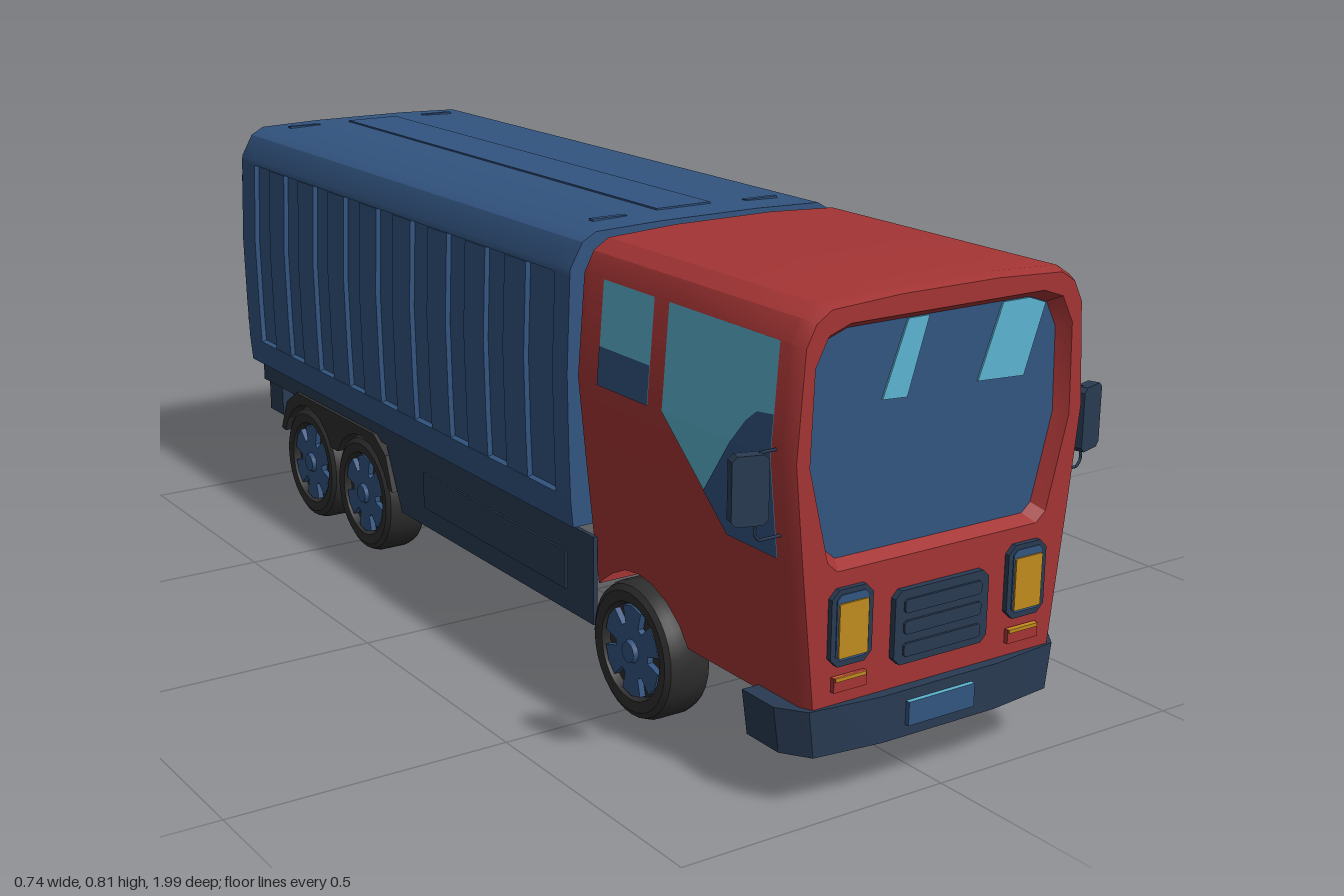
import * as THREE from 'three';
import { toCreasedNormals, mergeGeometries } from 'three/addons/utils/BufferGeometryUtils.js';

const mat = (name, color) => Object.assign(new THREE.MeshStandardMaterial({ color }), { name });
const M = {
  red: mat('cab red', 0xa33434), blue: mat('container blue', 0x325480), navy: mat('trim navy', 0x293a52),
  cyan: mat('glass cyan', 0x5cb3d0), tyre: mat('tyre charcoal', 0x2e2e2e), black: mat('underside black', 0x1b1b1b),
  yellow: mat('lamp yellow', 0xbf8b1d), orange: mat('signal orange', 0xb5432a),
};
M.cyan.side = M.red.side = M.blue.side = THREE.DoubleSide;

const crease = (g) => toCreasedNormals(g, 0.5);
const V2 = (pts) => pts.map(([x, y]) => new THREE.Vector2(x, y));

function add(parent, name, geo, material, pos = [0, 0, 0]) {
  const m = new THREE.Mesh(geo, material);
  m.name = name;
  m.position.set(...pos);
  parent.add(m);
  return m;
}
const box = (parent, name, material, size, pos) => add(parent, name, new THREE.BoxGeometry(...size), material, pos);
// Number plate with a pale upper edge
const plateSides = [M.blue, M.blue, M.cyan, M.blue, M.blue, M.blue];

// Skin through rings of [x, y, z], counter-clockwise seen from +z; an open skin has no face from last point to first
function loft(rings, { back = true, front = true, open = false } = {}) {
  const v = [], n = rings[0].length;
  const cap = (r, flip) => {
    const c = [0, 1, 2].map((k) => r.reduce((s, p) => s + p[k], 0) / n);
    r.forEach((p, j) => { const q = r[(j + 1) % n]; v.push(c, ...(flip ? [q, p] : [p, q])); });
  };
  for (let i = 0; i + 1 < rings.length; i++) for (let j = 0; j < n - (open ? 1 : 0); j++) {
    const k = (j + 1) % n, a = rings[i][j], b = rings[i][k], c = rings[i + 1][k], d = rings[i + 1][j];
    v.push(a, b, c, a, c, d);
  }
  if (back) cap(rings[0], true);
  if (front) cap(rings[rings.length - 1], false);
  const g = new THREE.BufferGeometry();
  g.setAttribute('position', new THREE.Float32BufferAttribute(v.flat(), 3));
  g.computeVertexNormals();
  return crease(g);
}

// Half profile [x, y] from bottom to top, mirrored to a full section
const section = (half, z) => [...half, ...half.map(([x, y]) => [-x, y]).reverse()].map(([x, y]) => [x, y, z]);
const widthAt = (half) => (y) => {
  let i = 0;
  while (i < half.length - 2 && half[i + 1][1] < y) i++;
  const [a, b] = [half[i], half[i + 1]];
  return a[0] + (b[0] - a[0]) * (y - a[1]) / (b[1] - a[1]);
};

// Plate facing front (or back) and panel extruded across x from a [z, y] outline
const plate = (pts, depth) => new THREE.ExtrudeGeometry(new THREE.Shape(V2(pts)), { depth, bevelEnabled: false });
const across = (pts, x0, x1) => plate(pts.map(([z, y]) => [-z, y]), x1 - x0).rotateY(Math.PI / 2).translate(x0, 0, 0);
// Slab seen from above, outline [x, z]
const slab = (pts, y0, y1) => plate(pts.map(([x, z]) => [x, -z]), y1 - y0).rotateX(-Math.PI / 2).translate(0, y0, 0);
const octagon = (w, h, c) => [[w - c, -h], [w, c - h], [w, h - c], [w - c, h], [c - w, h], [-w, h - c], [-w, c - h], [c - w, -h]];
const rect = (x0, x1, y0, y1) => [[x0, y0], [x1, y0], [x1, y1], [x0, y1]];

// Thin face following a curved side wall, outline [z, y]
function sideFace(pts, width, s, lift) {
  const g = new THREE.ShapeGeometry(new THREE.Shape(V2(pts.map(([z, y]) => [-s * z, y]))));
  const p = g.attributes.position;
  for (let i = 0; i < p.count; i++) p.setXYZ(i, s * (width(p.getY(i)) + lift), p.getY(i), -s * p.getX(i));
  g.computeVertexNormals();
  return g;
}

function buildCab() {
  const cab = new THREE.Group();
  cab.name = 'cab';
  const half = [[0.25, 0.165], [0.277, 0.4], [0.295, 0.57], [0.282, 0.745], [0.264, 0.78], [0.235, 0.798], [0.1, 0.805]];
  const width = widthAt(half);
  const ring = (z, b) => section([[width(b), b], ...half.slice(1)], z);
  // Shell with wheel arches, open underneath
  const rings = [[0.4, 0.195], [0.42, 0.21], [0.45, 0.23], [0.49, 0.249], [0.53, 0.255], [0.57, 0.249],
    [0.61, 0.229], [0.64, 0.2], [0.66, 0.165], [0.95, 0.165]].map(([z, b]) => ring(z, b));
  const face = section(half.map(([x, y]) => [x * 0.965, 0.5 + (y - 0.5) * 0.98]), 0.972);
  add(cab, 'cabShell', loft([...rings, face], { front: false, open: true }), M.red);

  // Front wall with windscreen opening
  const glass = [[0.19, 0.4], [0.208, 0.415], [0.245, 0.56], [0.24, 0.7], [0.218, 0.742], [0.18, 0.755]];
  const glassRing = section(glass, 0.95);
  const frame = section(glass.map(([x, y]) => [x * 1.06, 0.577 + (y - 0.577) * 1.07]), 0.972);
  const wall = new THREE.Shape(V2(face));
  wall.holes.push(new THREE.Path(V2(frame).reverse()));
  add(cab, 'frontWall', new THREE.ShapeGeometry(wall), M.red, [0, 0, 0.972]);
  add(cab, 'windscreenFrame', loft([frame, glassRing], { back: false, front: false }), M.red);
  add(cab, 'windscreen', plate(glassRing, 0.002), M.blue, [0, 0, 0.948]);
  for (const pts of [[[-0.11, 0.635], [-0.062, 0.632], [-0.024, 0.754], [-0.065, 0.754]],
    [[0.08, 0.635], [0.175, 0.63], [0.214, 0.742], [0.18, 0.754], [0.125, 0.754]]])
    add(cab, 'windscreenGlint', plate(pts, 0.003), M.cyan, [0, 0, 0.95]);

  // Grille
  add(cab, 'grille', plate(octagon(0.095, 0.061, 0.012), 0.011), M.navy, [0, 0.275, 0.973]);
  for (const y of [0.31, 0.275, 0.238]) add(cab, 'grilleSlat', plate(octagon(0.078, 0.011, 0.004), 0.006), M.navy, [0, y, 0.982]);

  for (const s of [1, -1]) {
    // Lamps
    add(cab, 'headlightHousing', plate(octagon(0.04, 0.062, 0.014), 0.009), M.navy, [s * 0.178, 0.3, 0.973]);
    add(cab, 'headlightRim', plate(octagon(0.031, 0.053, 0.008), 0.003), M.blue, [s * 0.178, 0.301, 0.981]);
    add(cab, 'headlightLens', plate(octagon(0.028, 0.044, 0.002), 0.004), M.yellow, [s * 0.178, 0.297, 0.983]);
    box(cab, 'indicatorBase', M.red, [0.064, 0.024, 0.008], [s * 0.177, 0.208, 0.977]);
    box(cab, 'indicator', M.yellow, [0.06, 0.006, 0.008], [s * 0.177, 0.217, 0.979]);

    // Side windows, split where the wall bends
    const panes = [rect(0.645, 0.925, 0.57, 0.745), [[0.925, 0.57], [0.645, 0.57], [0.8, 0.41], [0.925, 0.41]], rect(0.46, 0.605, 0.57, 0.745)];
    const shades = [[[0.925, 0.635], [0.885, 0.63], [0.86, 0.61], [0.827, 0.57], [0.925, 0.57]],
      [[0.925, 0.57], [0.827, 0.57], [0.745, 0.467], [0.8, 0.41], [0.925, 0.41]], rect(0.46, 0.605, 0.57, 0.635)];
    for (const side of [1, -1]) {
      for (const p of panes) add(cab, 'sideWindow', sideFace(p, width, s, side * 0.001), M.cyan);
      for (const p of shades) add(cab, 'sideWindowShade', sideFace(p, width, s, side * 0.002), M.blue);
    }

    // Mirror on its bracket
    const path = [[0.27, 0.585], [0.322, 0.585], [0.33, 0.575], [0.33, 0.46], [0.322, 0.45], [0.265, 0.45]];
    const curve = new THREE.CurvePath();
    for (let i = 0; i + 1 < path.length; i++)
      curve.add(new THREE.LineCurve3(new THREE.Vector3(s * path[i][0], path[i][1], 0.935), new THREE.Vector3(s * path[i + 1][0], path[i + 1][1], 0.935)));
    add(cab, 'mirrorBracket', new THREE.TubeGeometry(curve, 48, 0.0025, 6), M.navy);
    const mirror = new THREE.Group();
    mirror.name = 'mirror';
    add(mirror, 'mirrorCase', plate(octagon(0.029, 0.054, 0.008), 0.02), M.navy, [0, 0, -0.008]);
    add(mirror, 'mirrorGlass', plate(octagon(0.0285, 0.0535, 0.008), 0.003), M.cyan, [0, 0, -0.01]);
    mirror.position.set(s * 0.34, 0.531, 0.93);
    mirror.rotation.y = s * 0.3;
    cab.add(mirror);
  }

  // Wrap-round bumper, narrower at its foot
  const outer = [[0.283, 0.85], [0.283, 0.93], [0.25, 0.975], [0.12, 0.99]];
  const plan = [...outer, ...outer.map(([x, z]) => [-x, z]).reverse(), [-0.245, 0.85], [-0.245, 0.93], [0.245, 0.93], [0.245, 0.85]];
  const bumper = slab(plan, 0.095, 0.173), p = bumper.attributes.position;
  for (let i = 0; i < p.count; i++) if (p.getY(i) < 0.1) p.setX(i, p.getX(i) * 0.96);
  add(cab, 'frontBumper', crease(bumper), M.navy);
  box(cab, 'frontPlate', plateSides, [0.135, 0.04, 0.012], [-0.004, 0.135, 0.992]);
  return cab;
}

function buildContainer() {
  const g = new THREE.Group();
  g.name = 'container';
  const half = [[0.282, 0.285], [0.287, 0.338], [0.287, 0.341], [0.29, 0.42], [0.293, 0.56], [0.287, 0.725], [0.2868, 0.728],
    [0.286, 0.74], [0.262, 0.783], [0.235, 0.798], [0.1, 0.802]];
  const width = widthAt(half);
  // Body with sides set back between the end frames
  const setBack = half.map(([x, y]) => [y > 0.34 && y < 0.727 ? x - 0.01 : x, y]);
  add(g, 'containerBody', loft([[half, -0.98], [half, -0.916], [setBack, -0.915], [setBack, 0.301], [half, 0.302], [half, 0.35]]
    .map(([h, z]) => section(h, z))), M.blue);

  // Side ribs, flush with the frames
  for (const s of [1, -1]) for (let i = 0; i < 8; i++) {
    const z = 0.172 - i * 0.1395;
    const r = [0.339, 0.42, 0.56, 0.727].map((y) => [s * width(y), y]);
    r.push([s * 0.27, 0.727], [s * 0.27, 0.339]);
    if (s < 0) r.reverse();
    add(g, 'sideRib', loft([z - 0.036, z + 0.036].map((k) => r.map(([x, y]) => [x, y, k]))), M.blue);
  }
  // Roof strip and end cleats
  box(g, 'roofStrip', M.blue, [0.115, 0.006, 1.19], [0, 0.802, -0.325]);
  for (const x of [-0.162, 0.162]) for (const z of [-0.925, 0.275])
    box(g, 'roofCleat', M.blue, [0.07, 0.006, 0.012], [x, 0.8, z]);

  // Rear doors with lock bars and hinges
  for (const s of [1, -1]) box(g, 'rearDoor', M.blue, [0.255, 0.47, 0.006], [s * 0.13, 0.54, -0.981]);
  for (const x of [-0.18, -0.055, 0.055, 0.18]) {
    add(g, 'lockBar', new THREE.CylinderGeometry(0.006, 0.006, 0.5, 8), M.navy, [x, 0.54, -0.988]);
    for (const y of [0.38, 0.69]) box(g, 'lockClamp', M.navy, [0.04, 0.014, 0.014], [x, y, -0.988]);
  }
  for (const s of [1, -1]) for (const y of [0.38, 0.69]) box(g, 'hinge', M.navy, [0.04, 0.014, 0.01], [s * 0.265, y, -0.984]);
  g.position.x = 0.008;
  return g;
}

function buildChassis() {
  const g = new THREE.Group();
  g.name = 'chassis';
  add(g, 'underside', new THREE.PlaneGeometry(0.54, 1.28).rotateX(Math.PI / 2), M.black, [0, 0.278, -0.29]);
  const skirt = [[0.41, 0.285], [0.41, 0.125], [-0.29, 0.125], [-0.35, 0.25], [-0.93, 0.25], [-0.93, 0.285]];
  // Mudguard hugging both wheels
  const arch = (z, from, to) => Array.from({ length: 9 }, (_, i) => {
    const a = THREE.MathUtils.degToRad(from + (to - from) * i / 8);
    return [z + 0.124 * Math.cos(a), 0.12 + 0.124 * Math.sin(a)];
  });
  const guard = [[-0.315, 0.16], [-0.34, 0.23], [-0.39, 0.262], [-0.75, 0.262], [-0.8, 0.23], [-0.83, 0.165],
    ...arch(-0.695, 160, 30), ...arch(-0.45, 150, 20)];
  const both = (name, pts, x0, x1, m) => {
    add(g, name, across(pts, x0, x1), m);
    add(g, name, across(pts, -x1, -x0), m);
  };
  both('sideSkirt', skirt, 0.268, 0.276, M.navy);
  both('skirtPanel', rect(-0.19, 0.325, 0.165, 0.235), 0.264, 0.28, M.navy);
  both('mudguard', guard, 0.185, 0.284, M.tyre);
  // Rear bumper, plate and tail lights
  const outer = [[0.27, -0.85], [0.27, -0.915], [0.24, -0.94]];
  const plan = [...outer, ...outer.map(([x, z]) => [-x, z]).reverse(), [-0.235, -0.85], [-0.235, -0.89], [0.235, -0.89], [0.235, -0.85]];
  add(g, 'rearBumper', slab(plan, 0.185, 0.255), M.navy);
  box(g, 'rearPlate', plateSides, [0.12, 0.035, 0.01], [0, 0.22, -0.942]);
  for (const s of [1, -1]) box(g, 'tailLight', M.orange, [0.06, 0.022, 0.008], [s * 0.175, 0.222, -0.941]);
  g.position.x = 0.005;
  return g;
}

function buildWheels() {
  const g = new THREE.Group();
  g.name = 'wheels';
  const tyre = crease(new THREE.LatheGeometry(V2([[0, -0.04], [0.075, -0.04], [0.105, -0.044], [0.115, -0.038], [0.12, -0.025],
    [0.12, 0.025], [0.115, 0.038], [0.105, 0.044], [0.086, 0.042], [0.081, 0.028], [0, 0.028]]), 32)).rotateZ(-Math.PI / 2);
  // Six-spoke rim
  const pts = [];
  for (let i = 0; i < 6; i++) for (const [r, a] of [[0.079, -0.34], [0.081, 0], [0.079, 0.34], [0.048, 0.4], [0.048, 0.647]])
    pts.push([r * Math.cos(a + i * Math.PI / 3 + 0.52), r * Math.sin(a + i * Math.PI / 3 + 0.52)]);
  const hub = new THREE.CylinderGeometry(0.018, 0.024, 0.016, 12).rotateX(Math.PI / 2).translate(0, 0, 0.012).toNonIndexed();
  const rim = mergeGeometries([plate(pts, 0.012), hub]).rotateY(Math.PI / 2).translate(0.027, 0, 0);
  for (const z of [0.53, -0.45, -0.695]) {
    for (const s of [1, -1]) {
      const wheel = new THREE.Group();
      wheel.name = z > 0 ? 'frontWheel' : 'rearWheel';
      add(wheel, 'tyre', tyre, M.tyre);
      add(wheel, 'rim', rim, M.blue);
      wheel.position.set(s * 0.239, 0.12, z);
      if (s < 0) wheel.rotation.y = Math.PI;
      g.add(wheel);
    }
    if (z < 0) add(g, 'rearAxle', new THREE.CylinderGeometry(0.044, 0.044, 0.42, 16).rotateZ(Math.PI / 2), M.tyre, [0, 0.12, z]);
  }
  g.position.x = 0.005;
  return g;
}

export function createModel() {
  const truck = new THREE.Group();
  truck.name = 'truck';
  truck.add(buildCab(), buildContainer(), buildChassis(), buildWheels());
  return truck;
}
